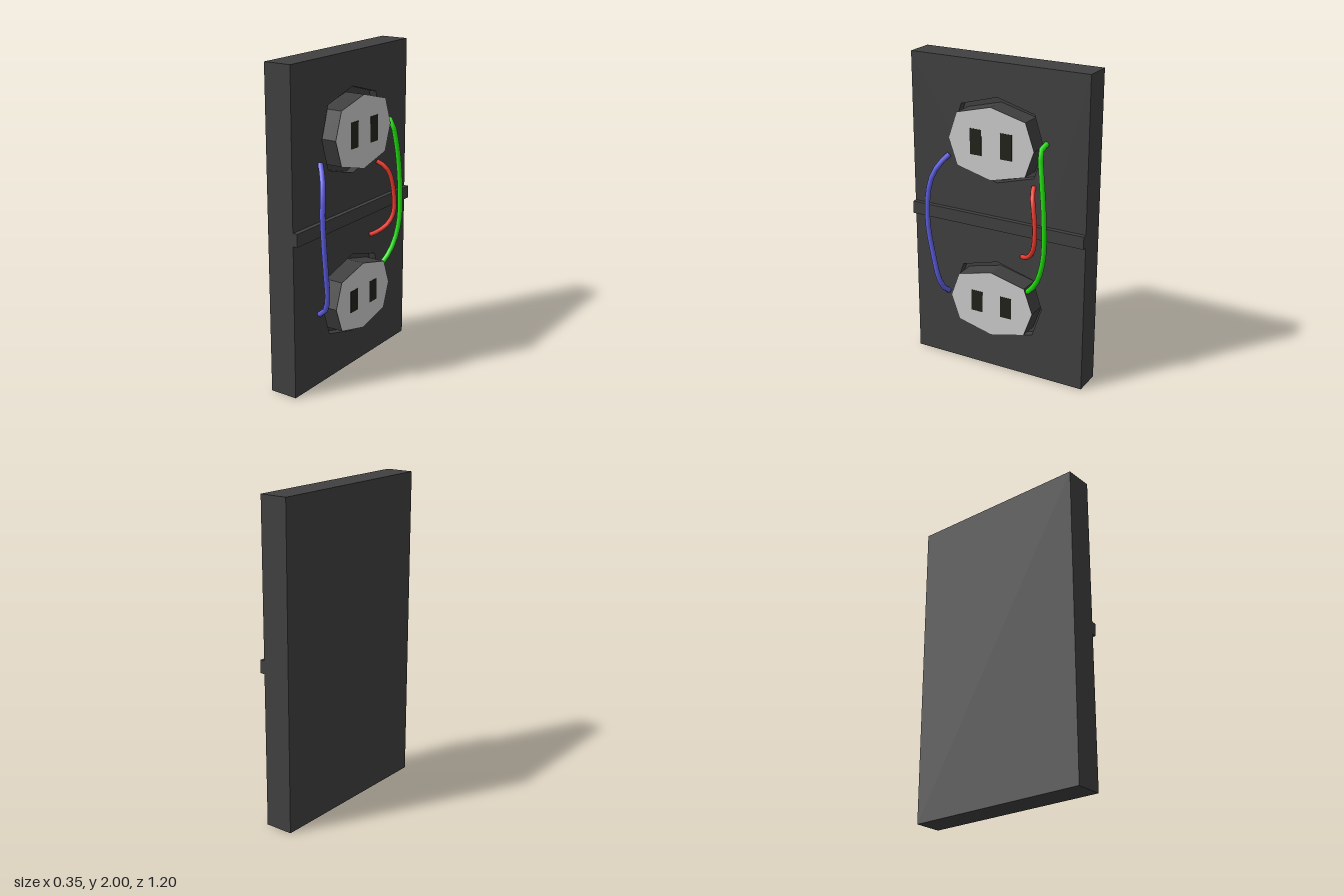
import * as THREE from 'three';

const mat = (color) => new THREE.MeshStandardMaterial({ color, flatShading: true });
const dark = mat(0x404040), light = mat(0xcccccc), black = mat(0x22221c);

function add(parent, name, geometry, material) {
  const m = new THREE.Mesh(geometry, material);
  m.name = name;
  parent.add(m);
  return m;
}

function box(parent, name, material, x0, x1, y0, y1, z0, z1) {
  const g = new THREE.BoxGeometry(x1 - x0, y1 - y0, z1 - z0);
  g.translate((x0 + x1) / 2, (y0 + y1) / 2, (z0 + z1) / 2);
  return add(parent, name, g, material);
}

// Stretched octagon outline; rw, rh are the half width and half height
function octagon(rw, rh, cy) {
  const a = 0.8 * rw, b = 0.735 * rh;
  return [[rw, 0], [a, b], [0, rh], [-a, b], [-rw, 0], [-a, -b], [0, -rh], [a, -b]]
    .map(([u, v]) => new THREE.Vector2(u, v + cy));
}

// Extrudes an outline drawn on the side plane from x0 to x1
function slab(shape, x0, x1) {
  const g = new THREE.ExtrudeGeometry(shape, { depth: x1 - x0, bevelEnabled: false });
  g.rotateY(Math.PI / 2);
  g.translate(x0, 0, 0);
  return g;
}

// Bent wire with closed ends; points are [x, y, z]
function wire(parent, name, color, points, radius = 0.017) {
  const material = new THREE.MeshStandardMaterial({ color });
  const pts = points.map((p) => new THREE.Vector3(...p));
  const curve = new THREE.CatmullRomCurve3(pts, false, 'centripetal');
  const group = new THREE.Group();
  group.name = name;
  add(group, name + 'Strand', new THREE.TubeGeometry(curve, (pts.length - 1) * 2, radius, 8), material);
  for (const t of [0, 1]) {
    const cap = add(group, name + 'End', new THREE.CircleGeometry(radius, 8), material);
    const p = curve.getPoint(t);
    cap.position.copy(p);
    cap.lookAt(p.clone().addScaledVector(curve.getTangent(t), t ? 1 : -1));
  }
  parent.add(group);
}

export function createModel() {
  const root = new THREE.Group();
  root.name = 'wallOutlet';

  // Plate assembly, turned slightly about the vertical axis
  const body = new THREE.Group();
  body.name = 'outletBody';
  body.position.x = -0.045 + 0.045;
  body.rotation.y = -0.046;
  root.add(body);

  const back = -0.15, front = 0.03, half = 0.595, recess = 0.05;
  const sockets = [
    { y: 1.525, rh: 0.225, gap: 0.265, slot: 0.08 },
    { y: 0.48, rh: 0.215, gap: 0.257, slot: 0.07 },
  ];

  // Plate: solid back and a front layer with a recess around each socket
  box(body, 'plateBack', dark, back, front - recess, 0, 2, -half, half);
  const plate = new THREE.Shape([[-half, 0], [half, 0], [half, 2], [-half, 2]]
    .map(([u, v]) => new THREE.Vector2(u, v)));
  for (const s of sockets) plate.holes.push(new THREE.Path(octagon(0.31, s.gap, s.y)));
  add(body, 'plateFront', slab(plate, front - recess, front), dark);

  // Bar across the middle
  box(body, 'middleBar', dark, front, 0.06, 0.96, 1.04, -half, half);

  // Sockets: dark body, pale face and two slots
  for (const s of sockets) {
    const group = new THREE.Group();
    group.name = 'socket';
    const outline = new THREE.Shape(octagon(0.288, s.rh, s.y));
    add(group, 'socketBody', slab(outline, front - recess, 0.111), dark);
    const face = new THREE.ShapeGeometry(outline);
    face.rotateY(Math.PI / 2);
    face.translate(0.113, 0, 0);
    add(group, 'socketFace', face, light);
    for (const z of [0.1, -0.105]) {
      box(group, 'slot', black, 0.1, 0.115, s.y - s.slot, s.y + s.slot, z - 0.039, z + 0.039);
    }
    body.add(group);
  }

  // Loose wires
  wire(root, 'blueWire', 0x6060e6, [
    [0.02, 1.39, 0.335], [0.07, 1.32, 0.39], [0.095, 1.24, 0.425], [0.105, 1.12, 0.446],
    [0.113, 0.93, 0.444], [0.108, 0.75, 0.418], [0.095, 0.57, 0.385], [0.06, 0.49, 0.365],
    [0.02, 0.46, 0.358],
  ]);
  wire(root, 'greenWire', 0x22e010, [
    [0.04, 1.555, -0.325], [0.11, 1.53, -0.32], [0.135, 1.42, -0.335], [0.145, 1.32, -0.348],
    [0.153, 1.12, -0.365], [0.153, 0.9, -0.366], [0.14, 0.76, -0.335], [0.12, 0.67, -0.29],
    [0.1, 0.615, -0.24],
  ]);
  wire(root, 'redWire', 0xf03c30, [
    [0.05, 1.28, -0.25], [0.1, 1.25, -0.265], [0.128, 1.2, -0.282], [0.145, 1.07, -0.303],
    [0.147, 0.95, -0.3], [0.125, 0.88, -0.272], [0.085, 0.835, -0.22], [0.045, 0.815, -0.175],
  ], 0.015);

  return root;
}
